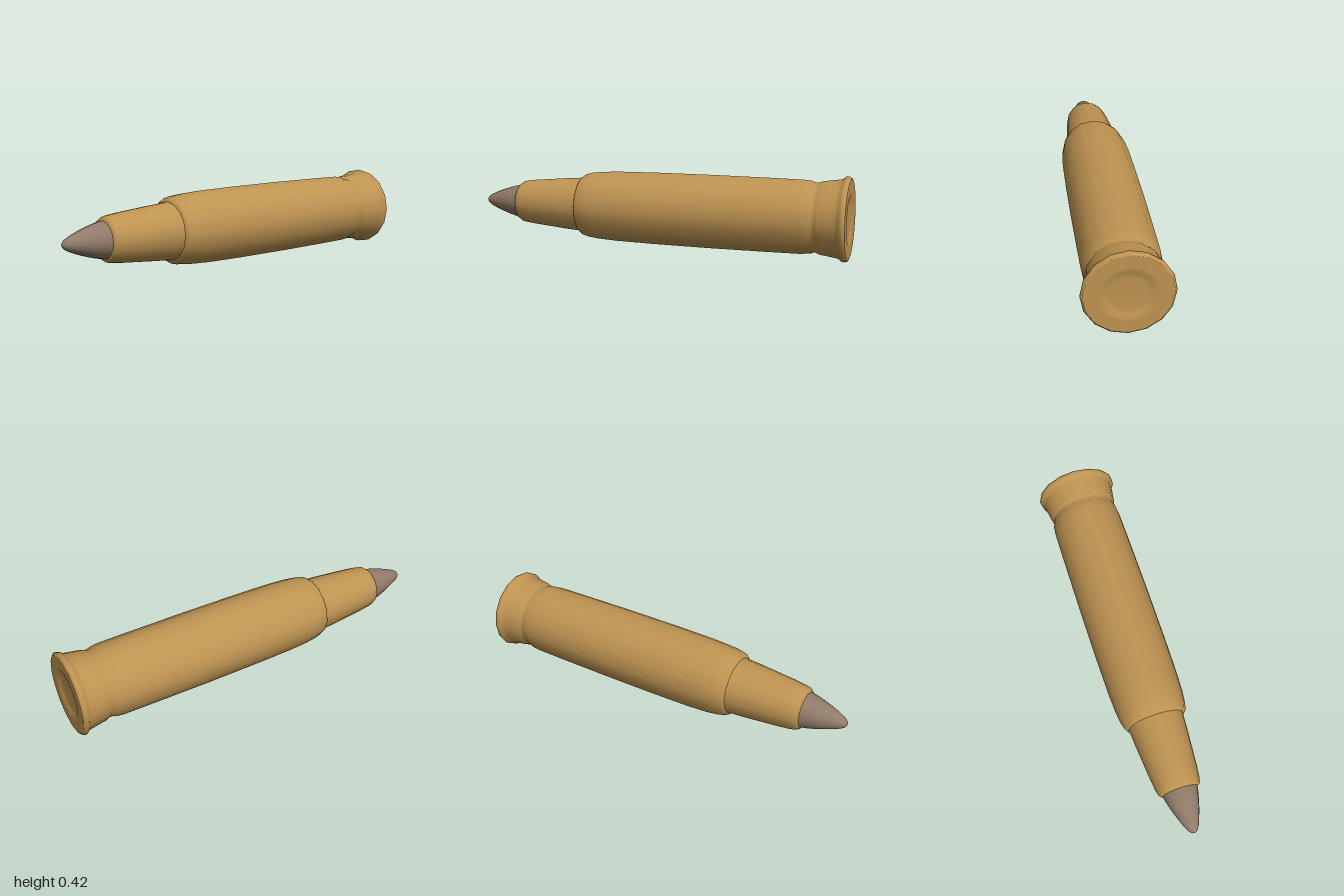
import * as THREE from 'three';

const SIDES = 16;

// Turned part along z from [radius, z] pairs, listed back to front
function turned(name, profile, material) {
  const points = profile.map(([r, z]) => new THREE.Vector2(r, z));
  const geometry = new THREE.LatheGeometry(points, SIDES);
  geometry.rotateX(Math.PI / 2);
  const mesh = new THREE.Mesh(geometry, material);
  mesh.name = name;
  mesh.position.y = 0.212;
  return mesh;
}

export function createModel() {
  const brass = new THREE.MeshStandardMaterial({ color: 0xbf9452 });
  brass.name = 'brass';
  const lead = new THREE.MeshStandardMaterial({ color: 0x917b69 });
  lead.name = 'dull metal';

  const group = new THREE.Group();
  group.name = 'cartridge';

  // Back face with a shallow dished centre
  group.add(turned('base', [
    [0, -0.988], [0.085, -0.988], [0.105, -0.992], [0.125, -0.999], [0.14, -1], [0.2, -1],
  ], brass));

  // Rim flange and flared foot
  group.add(turned('rim', [
    [0.2, -1], [0.208, -0.995], [0.212, -0.985], [0.209, -0.972], [0.2, -0.964],
    [0.195, -0.95], [0.189, -0.91], [0.183, -0.868], [0.177, -0.852],
  ], brass));

  // Groove, long body and rounded shoulder
  group.add(turned('body', [
    [0.177, -0.852], [0.174, -0.845], [0.175, -0.83], [0.182, -0.81], [0.186, -0.77],
    [0.188, -0.6], [0.19, -0.3], [0.189, 0], [0.186, 0.2], [0.181, 0.3],
    [0.174, 0.36], [0.165, 0.395], [0.158, 0.406], [0.147, 0.411],
  ], brass));

  // Tapered neck closing in around the tip
  group.add(turned('neck', [
    [0.147, 0.411], [0.144, 0.425], [0.139, 0.5], [0.13, 0.6], [0.122, 0.69],
    [0.115, 0.745], [0.109, 0.77], [0.102, 0.78], [0.09, 0.784],
  ], brass));

  // Rounded nose
  group.add(turned('tip', [
    [0.093, 0.775], [0.084, 0.82], [0.073, 0.86], [0.06, 0.9], [0.045, 0.94],
    [0.032, 0.97], [0.021, 0.988], [0.01, 0.997], [0, 1],
  ], lead));

  return group;
}
